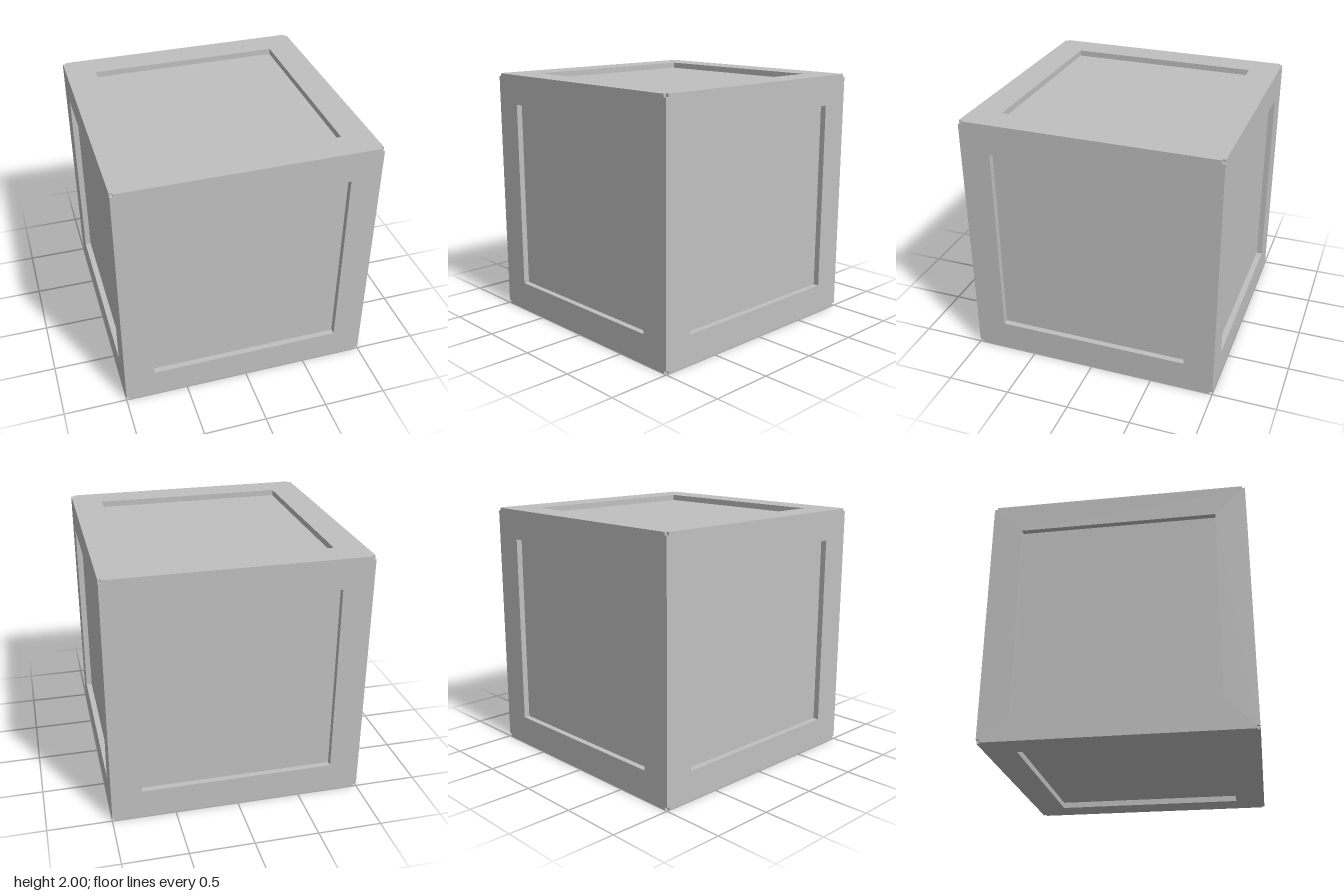
import * as THREE from 'three';
import { mergeGeometries } from 'three/addons/utils/BufferGeometryUtils.js';

const HALF = 1;        // half the cube's side
const INNER = 0.762;   // half the recessed panel's side
const DEPTH = 0.047;   // recess depth
const NOTCH = 0.023;   // small cube cut out of every corner

// Flat border of one side: square with notched corners and a square hole
function borderGeometry() {
  const h = HALF, m = HALF - NOTCH, a = INNER;
  const outline = [
    [m, -h], [m, -m], [h, -m], [h, m], [m, m], [m, h],
    [-m, h], [-m, m], [-h, m], [-h, -m], [-m, -m], [-m, -h],
  ].map(([x, y]) => new THREE.Vector2(x, y));
  const shape = new THREE.Shape(outline);
  shape.holes.push(new THREE.Path([[-a, -a], [-a, a], [a, a], [a, -a]].map(([x, y]) => new THREE.Vector2(x, y))));
  return new THREE.ShapeGeometry(shape).translate(0, 0, HALF);
}

// Repeats a geometry at the four quarter turns about z
function fourTimes(geometry) {
  return mergeGeometries([0, 1, 2, 3].map((k) => geometry.clone().rotateZ(k * Math.PI / 2)));
}

export function createModel() {
  const grey = new THREE.MeshStandardMaterial({ color: 0xc0c0c0 });
  grey.name = 'grey';

  const border = borderGeometry();
  const panel = new THREE.PlaneGeometry(2 * INNER, 2 * INNER).translate(0, 0, HALF - DEPTH);
  // Walls stepping down from the border to the panel
  const walls = fourTimes(new THREE.PlaneGeometry(2 * INNER, DEPTH)
    .rotateX(-Math.PI / 2).translate(0, -INNER, HALF - DEPTH / 2));
  // Floors of the corner notches
  const c = HALF - NOTCH / 2;
  const notches = fourTimes(new THREE.PlaneGeometry(NOTCH, NOTCH).translate(c, c, HALF - NOTCH));

  const parts = { border, recessedPanel: panel, recessWalls: walls, cornerNotches: notches };
  const q = Math.PI / 2;
  const sides = {
    frontSide: [0, 0], leftSide: [0, q], backSide: [0, 2 * q],
    rightSide: [0, -q], topSide: [-q, 0], bottomSide: [q, 0],
  };

  const model = new THREE.Group();
  model.name = 'panelledCube';
  for (const [sideName, [rx, ry]] of Object.entries(sides)) {
    const side = new THREE.Group();
    side.name = sideName;
    for (const [partName, geometry] of Object.entries(parts)) {
      const mesh = new THREE.Mesh(geometry, grey);
      mesh.name = partName;
      side.add(mesh);
    }
    side.rotation.set(rx, ry, 0);
    side.position.y = HALF;
    model.add(side);
  }
  return model;
}
